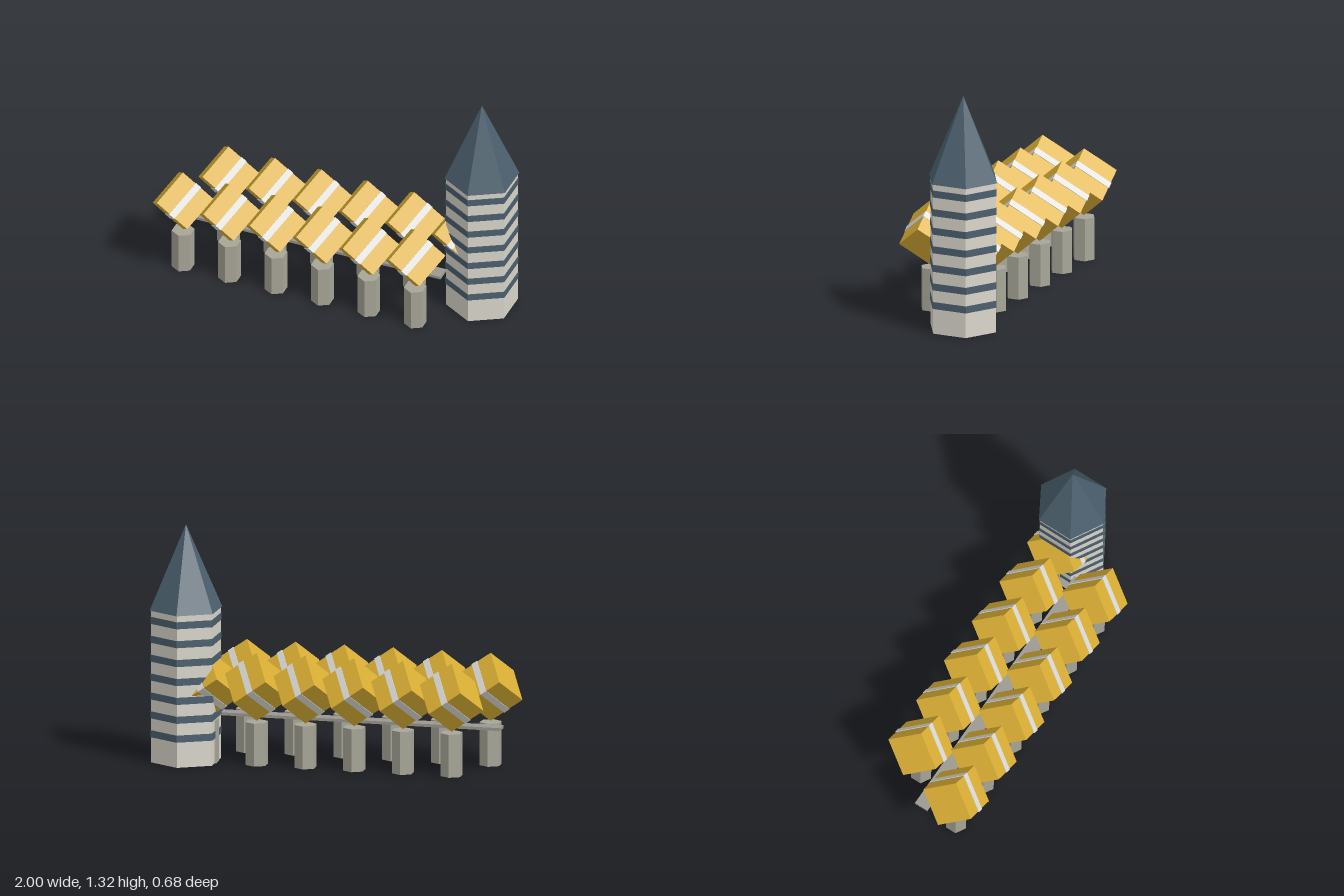
import * as THREE from 'three';

const flat = (name, color) => {
  const m = new THREE.MeshStandardMaterial({ color, flatShading: true });
  m.name = name;
  return m;
};

export function createModel() {
  const yellow = flat('yellow', 0xdcb035);
  const white = flat('white', 0xdcdcda);
  const cream = flat('cream', 0xdad6cc);
  const slate = flat('slate', 0x4c606e);
  const stone = flat('stone', 0xa8a698);
  const deckGrey = flat('deckGrey', 0x9a9890);

  const model = new THREE.Group();
  model.name = 'cubeHouses';
  const add = (parent, name, geometry, material, x = 0, y = 0, z = 0) => {
    const mesh = new THREE.Mesh(geometry, material);
    mesh.name = name;
    mesh.position.set(x, y, z);
    parent.add(mesh);
    return mesh;
  };

  // Cube houses balanced on one corner, each on a hexagonal pillar
  const side = 0.22;
  const cubeGeo = new THREE.BoxGeometry(side, side, side);
  const bandGeo = new THREE.BoxGeometry(0.037, side * 1.03, side * 1.03);
  const pillarGeo = new THREE.CylinderGeometry(0.063, 0.063, 0.24, 6);
  const addHouse = (x, z) => {
    const house = new THREE.Group();
    house.name = 'house';
    house.position.set(x, 0.435, z);
    house.rotation.set(Math.PI / 4, 0, -Math.atan(Math.SQRT1_2), 'ZYX');
    add(house, 'houseCube', cubeGeo, yellow);
    add(house, 'windowBand', bandGeo, white);
    model.add(house);
    add(model, 'pillar', pillarGeo, stone, x, 0.12, z);
  };
  for (let i = 0; i < 6; i++) {
    addHouse(-0.82 + i * 0.275, 0.181);
    addHouse(-0.683 + i * 0.275, -0.138);
  }

  // Walkway between the two rows
  add(model, 'walkway', new THREE.BoxGeometry(1.58, 0.016, 0.08), deckGrey, -0.135, 0.244, 0.021);

  // Hexagonal tower with stripes and a pointed roof
  const tower = new THREE.Group();
  tower.name = 'tower';
  tower.position.set(0.817, 0, -0.137);
  model.add(tower);
  add(tower, 'towerBody', new THREE.CylinderGeometry(0.198, 0.198, 0.85, 6), cream, 0, 0.425, 0);
  const stripeGeo = new THREE.CylinderGeometry(0.202, 0.202, 0.039, 6);
  for (let i = 0; i < 7; i++) add(tower, 'towerStripe', stripeGeo, slate, 0, 0.161 + i * 0.1058, 0);
  add(tower, 'towerRoof', new THREE.ConeGeometry(0.206, 0.472, 6), slate, 0, 1.086, 0);

  return model;
}
